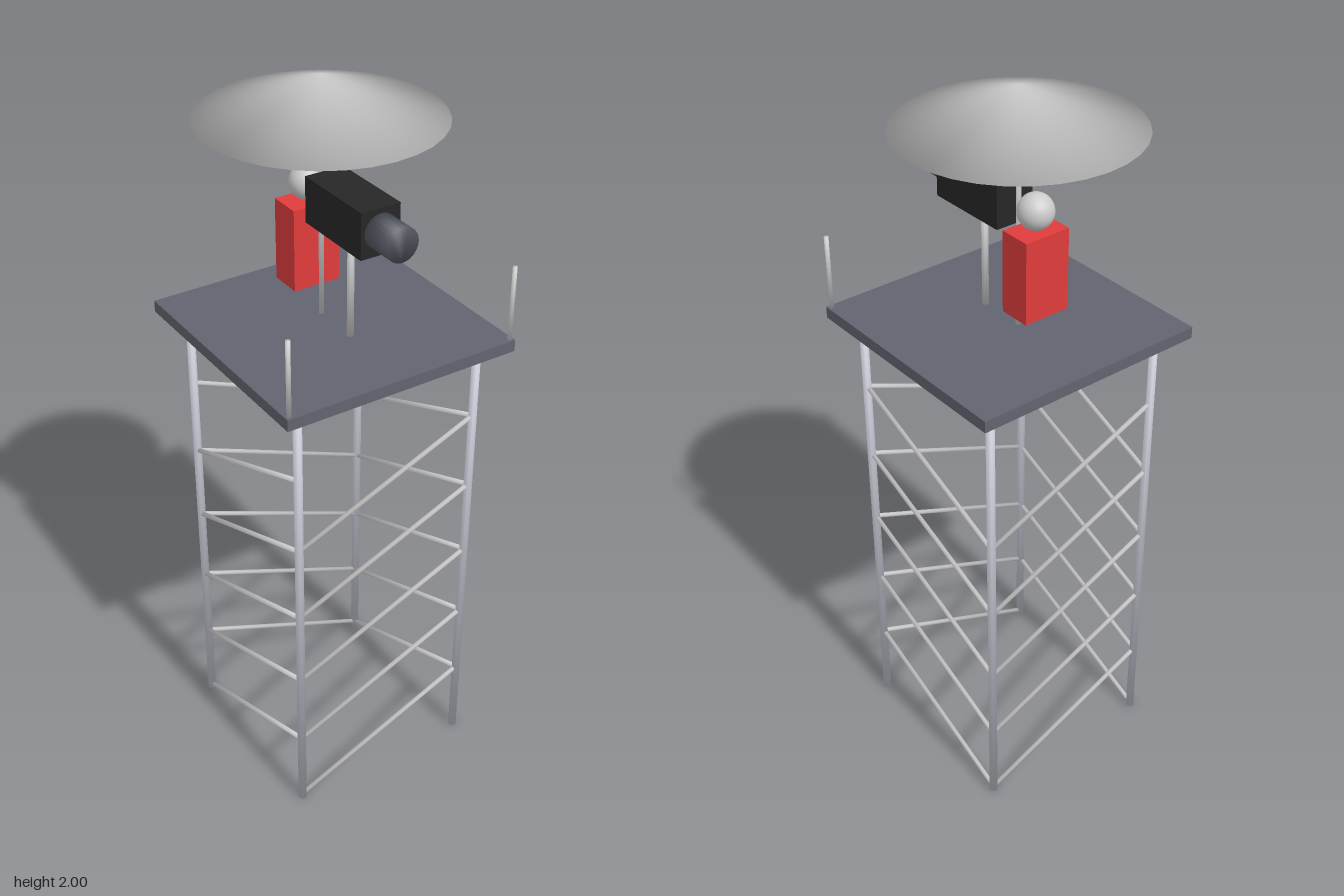
import * as THREE from 'three';

const paint = (color) => new THREE.MeshStandardMaterial({ color });

// Closed cylinder, or cone when pointed, with normals blended softly over its rims
function softSolid(radius, height, sides, pointed = false) {
  const positions = [], normals = [], index = [];
  const slope = pointed ? Math.atan2(radius, height) : 0;
  // Rim normal: mean of the wall normal and the cap normal
  const out = Math.cos(slope);
  const rise = Math.sin(slope) - 1;
  const ring = (y, sign) => {
    for (let i = 0; i < sides; i++) {
      const t = (i / sides) * Math.PI * 2;
      const n = new THREE.Vector3(Math.sin(t) * out, rise * sign, Math.cos(t) * out).normalize();
      positions.push(Math.sin(t) * radius, y, Math.cos(t) * radius);
      normals.push(n.x, n.y, n.z);
    }
  };
  ring(-height / 2, 1);
  if (pointed) {
    positions.push(0, height / 2, 0);
    normals.push(0, 1, 0);
  } else {
    ring(height / 2, -1);
  }
  // Wall
  for (let i = 0; i < sides; i++) {
    const j = (i + 1) % sides;
    if (pointed) index.push(i, j, sides);
    else index.push(i, j, sides + j, i, sides + j, sides + i);
  }
  // Caps
  for (let i = 1; i < sides - 1; i++) {
    index.push(0, i + 1, i);
    if (!pointed) index.push(sides, sides + i, sides + i + 1);
  }
  const geometry = new THREE.BufferGeometry();
  geometry.setAttribute('position', new THREE.Float32BufferAttribute(positions, 3));
  geometry.setAttribute('normal', new THREE.Float32BufferAttribute(normals, 3));
  geometry.setIndex(index);
  return geometry;
}

export function createModel() {
  const tower = new THREE.Group();
  tower.name = 'cameraTower';

  const grey = paint(0xcccccc);
  const legPaint = paint(0xc4c4d0);
  const deckPaint = paint(0x62656f);
  const black = paint(0x272727);
  const lensPaint = paint(0x50535e);
  const red = paint(0xe03c3c);

  function add(name, geometry, material, x, y, z) {
    const mesh = new THREE.Mesh(geometry, material);
    mesh.name = name;
    mesh.position.set(x, y, z);
    tower.add(mesh);
    return mesh;
  }

  // Round bar from a low point to a high point
  function bar(name, a, b, radius, material = grey, sides = 12) {
    const dir = b.clone().sub(a);
    const mid = a.clone().add(b).multiplyScalar(0.5);
    const mesh = add(name, softSolid(radius, dir.length(), sides), material, mid.x, mid.y, mid.z);
    mesh.quaternion.setFromUnitVectors(new THREE.Vector3(0, 1, 0), dir.normalize());
  }

  const upright = (name, x, z, y0, y1, radius, material) =>
    bar(name, new THREE.Vector3(x, y0, z), new THREE.Vector3(x, y1, z), radius, material);

  const cz = 0.01;          // tower axis
  const half = 0.267;       // half spacing of the legs
  const front = cz + half;
  const back = cz - half;
  const deckBottom = 1.329;
  const deckTop = 1.361;

  // Four legs
  for (const x of [-half, half])
    for (const z of [front, back]) upright('leg', x, z, 0, deckBottom + 0.005, 0.0115, legPaint);

  // One diagonal per face on each of five levels, given as low corner and high corner
  const braces = [
    ['frontBrace', -half, front, half, front],
    ['backBrace', half, back, -half, back],
    ['leftBrace', half, back, half, front],
    ['rightBrace', -half, back, -half, front],
  ];
  const step = 0.2223;
  for (let i = 0; i < 5; i++) {
    const low = 0.01 + i * step;
    for (const [name, x0, z0, x1, z1] of braces)
      bar(name, new THREE.Vector3(x0, low, z0), new THREE.Vector3(x1, low + step, z1), 0.0065, grey, 8);
  }

  // Platform with two posts on its front corners
  add('platform', new THREE.BoxGeometry(0.667, deckTop - deckBottom, 0.667), deckPaint, 0, (deckTop + deckBottom) / 2, cz);
  for (const x of [-0.323, 0.323]) upright('railPost', x, 0.333, deckTop, 1.566, 0.006);

  // Camera on its stand
  upright('cameraStand', 0, 0.1, deckTop, 1.65, 0.009);
  add('cameraBody', new THREE.BoxGeometry(0.11, 0.122, 0.242), black, 0, 1.7, 0.102);
  add('cameraLens', softSolid(0.045, 0.09, 24), lensPaint, 0, 1.703, 0.267).rotation.x = Math.PI / 2;

  // Operator
  add('operatorBody', new THREE.BoxGeometry(0.133, 0.223, 0.09), red, 0, 1.545, -0.1);
  add('operatorHead', new THREE.SphereGeometry(0.047, 24, 16), grey, 0, 1.704, -0.099);

  // Sunshade
  upright('sunshadePole', 0, -0.034, deckTop, 1.9, 0.0065);
  add('sunshade', softSolid(0.311, 0.106, 32, true), grey, 0, 1.947, -0.034);

  return tower;
}
